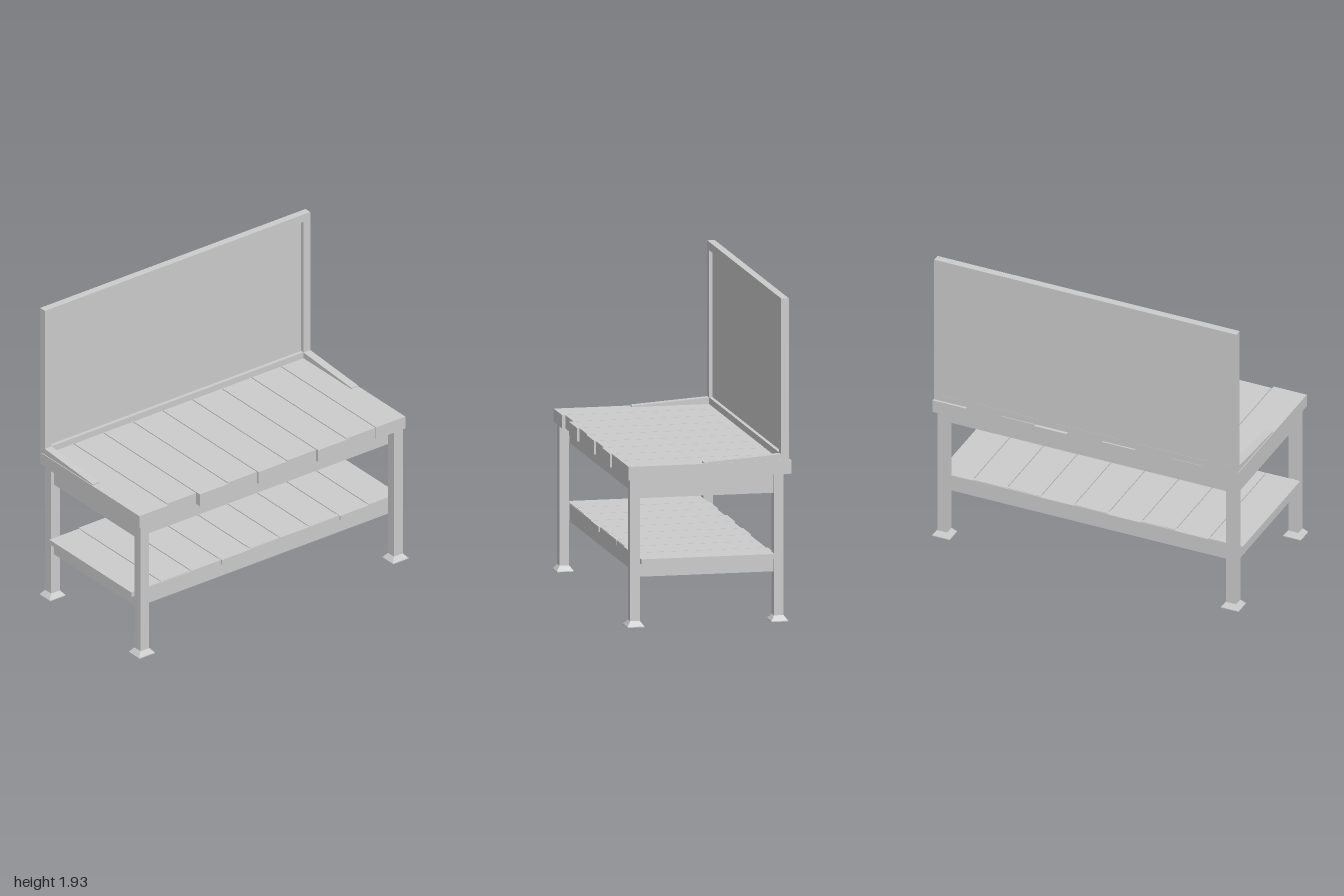
import * as THREE from 'three';

export function createModel() {
  const model = new THREE.Group();
  model.name = 'pottingBench';
  const mat = new THREE.MeshStandardMaterial({ color: 0xcccccc, flatShading: true });

  const add = (name, geo) => {
    const mesh = new THREE.Mesh(geo, mat);
    mesh.name = name;
    model.add(mesh);
    return mesh;
  };
  // Box given by its limits on each axis
  const box = (name, x0, x1, y0, y1, z0, z1) => {
    const mesh = add(name, new THREE.BoxGeometry(x1 - x0, y1 - y0, z1 - z0));
    mesh.position.set((x0 + x1) / 2, (y0 + y1) / 2, (z0 + z1) / 2);
    return mesh;
  };
  // Row of boards across x, with uneven front and back ends
  const planks = (name, x0, x1, y0, y1, fronts, backs) => {
    const pitch = (x1 - x0) / fronts.length, gap = 0.006;
    fronts.forEach((front, i) => {
      const left = x0 + i * pitch + (i ? gap / 2 : 0);
      const right = x0 + (i + 1) * pitch - (i < fronts.length - 1 ? gap / 2 : 0);
      box(name, left, right, y0, y1, backs[i], front);
    });
  };

  // Worktop and lower shelf
  planks('worktopPlank', -0.99, 0.98, 0.88, 0.96,
    [0.49, 0.47, 0.498, 0.485, 0.494, 0.485, 0.498, 0.486, 0.486],
    [-0.46, -0.484, -0.46, -0.492, -0.46, -0.502, -0.486, -0.46, -0.497]);
  planks('shelfPlank', -0.985, 0.985, 0.375, 0.405,
    [0.407, 0.405, 0.413, 0.418, 0.407, 0.412, 0.407, 0.418, 0.41],
    [-0.392, -0.402, -0.39, -0.405, -0.392, -0.402, -0.39, -0.392, -0.402]);

  // Legs with flared feet
  for (const x of [-0.9375, 0.9375]) {
    for (const z of [-0.423, 0.445]) {
      box('leg', x - 0.0325, x + 0.0325, 0.02, 0.885, z - 0.029, z + 0.029);
      const flare = new THREE.CylinderGeometry(0.0325 * Math.SQRT2, 0.058 * Math.SQRT2, 0.03, 4);
      flare.rotateY(Math.PI / 4).scale(1, 1, 0.88);
      add('foot', flare).position.set(x, 0.02, z);
      box('footPad', x - 0.058, x + 0.058, 0, 0.005, z - 0.051, z + 0.051);
    }
  }

  // Rails under the worktop and under the shelf
  for (const [name, y0, y1] of [['upperRail', 0.765, 0.88], ['lowerRail', 0.295, 0.402]]) {
    box(name + 'Front', -0.92, 0.92, y0, y1, 0.382, 0.41);
    box(name + 'Back', -0.92, 0.92, y0, y1, -0.395, -0.367);
    for (const s of [-1, 1]) {
      const side = box(name + 'Side', 0.922, 0.95, y0, Math.min(y1, 0.88), -0.4, 0.415);
      side.position.x *= s;
    }
  }

  // Upright back board with a raised border
  const L = -0.985, R = 0.977;
  box('backPanel', L + 0.002, R - 0.002, 0.878, 1.928, -0.48, -0.457);
  const border = new THREE.Shape([[L, 0.878], [R, 0.878], [R, 1.93], [L, 1.93]]
    .map(p => new THREE.Vector2(...p)));
  border.holes.push(new THREE.Path([[L + 0.05, 1.0], [L + 0.05, 1.88], [R - 0.05, 1.88], [R - 0.05, 1.0]]
    .map(p => new THREE.Vector2(...p))));
  add('backFrame', new THREE.ExtrudeGeometry(border, { depth: 0.046, bevelEnabled: false }))
    .position.z = -0.481;

  // Sloping side wedges on the worktop
  const wedge = new THREE.Shape([[-0.03, 0.95], [0.45, 0.95], [0.45, 1.0], [0.43, 0.998], [-0.03, 0.967]]
    .map(p => new THREE.Vector2(...p)));
  for (const x of [L, R - 0.05]) {
    const geo = new THREE.ExtrudeGeometry(wedge, { depth: 0.05, bevelEnabled: false });
    geo.rotateY(Math.PI / 2); // shape x runs to -z, depth runs to +x
    add('sideWedge', geo).position.x = x;
  }
  return model;
}
